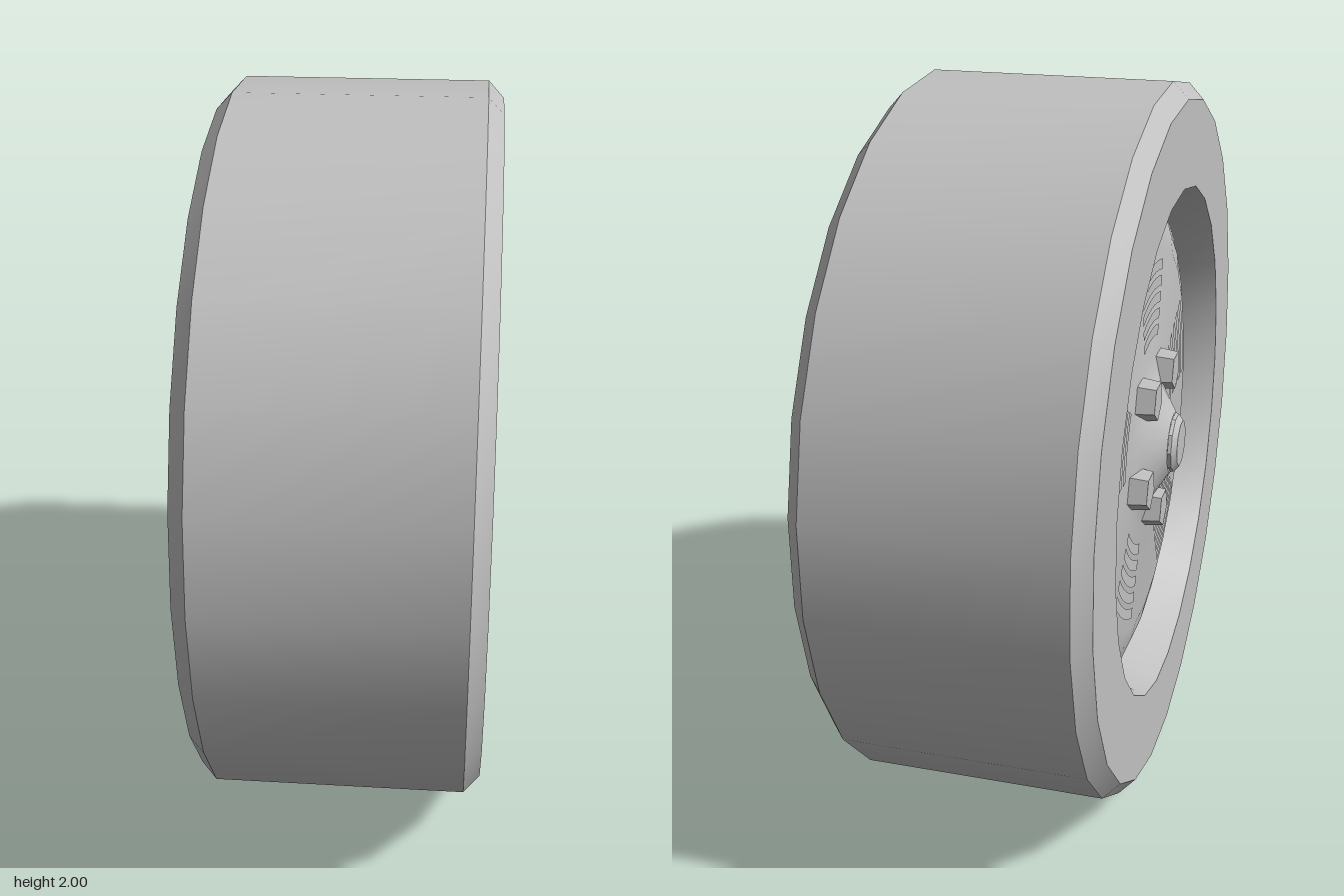
import * as THREE from 'three';
import { toCreasedNormals } from 'three/addons/utils/BufferGeometryUtils.js';

const SIDES = 25;
const FACE = 0.365;       // axial position of the outer sidewall
const HUB = FACE - 0.073; // axial position of the hub disc

export function createModel() {
  const grey = new THREE.MeshStandardMaterial({ color: 0xc0c0c0 });
  grey.name = 'grey';

  const wheel = new THREE.Group();
  wheel.name = 'wheel';
  wheel.position.set(0, 1, -0.004);

  const add = (name, geometry, parent = wheel) => {
    const mesh = new THREE.Mesh(geometry, grey);
    mesh.name = name;
    parent.add(mesh);
    return mesh;
  };

  // Revolve [radius, axial] points about the axle; axial + points to -x
  const revolve = (points, sides) => {
    const g = new THREE.LatheGeometry(points.map(([r, h]) => new THREE.Vector2(r, h)), sides);
    return toCreasedNormals(g.rotateZ(Math.PI / 2), 0.6);
  };

  // Tyre: closed back, bevelled tread, sidewall and tapered recess
  add('tyre', revolve([
    [0, -0.38], [0.957, -0.38], [1.002, -0.338], [1.002, 0.322],
    [0.957, FACE], [0.72, FACE], [0.67, FACE - 0.11],
  ], SIDES));

  // Hub cover: shallow dome edge, flat disc and central cone
  add('hubCover', revolve([
    [0.67, FACE - 0.11], [0.61, HUB - 0.013], [0.55, HUB], [0.24, HUB],
    [0.17, HUB + 0.02], [0.085, FACE],
  ], SIDES));

  // Centre cap
  add('centreCap', revolve([
    [0.085, FACE], [0.083, FACE + 0.01], [0.066, FACE + 0.024], [0, FACE + 0.024],
  ], 10));

  // Five lug nuts, with a fan of curved vents between each pair
  for (let i = 0; i < 5; i++) {
    const nutAngle = -Math.PI / 2 + (i * Math.PI * 2) / 5;
    const nut = add('lugNut', toCreasedNormals(
      new THREE.CylinderGeometry(0.056, 0.064, 0.06, 5).rotateZ(Math.PI / 2), 0.5));
    nut.position.set(-HUB - 0.022, 0.21 * Math.sin(nutAngle), 0.21 * Math.cos(nutAngle));
    nut.rotation.x = -nutAngle;

    const vents = new THREE.Group();
    vents.name = 'ventFan';
    vents.position.x = -HUB - 0.003;
    wheel.add(vents);
    const ventAngle = nutAngle + Math.PI;
    for (let j = 0; j < 5; j++) {
      const inner = 0.3 + j * 0.046;
      const half = 0.31 - j * 0.01;
      add('vent', new THREE.RingGeometry(inner, inner + 0.03, 6, 1, ventAngle - half, half * 2)
        .rotateY(-Math.PI / 2), vents);
    }
  }

  const model = new THREE.Group();
  model.name = 'model';
  model.add(wheel);
  return model;
}
